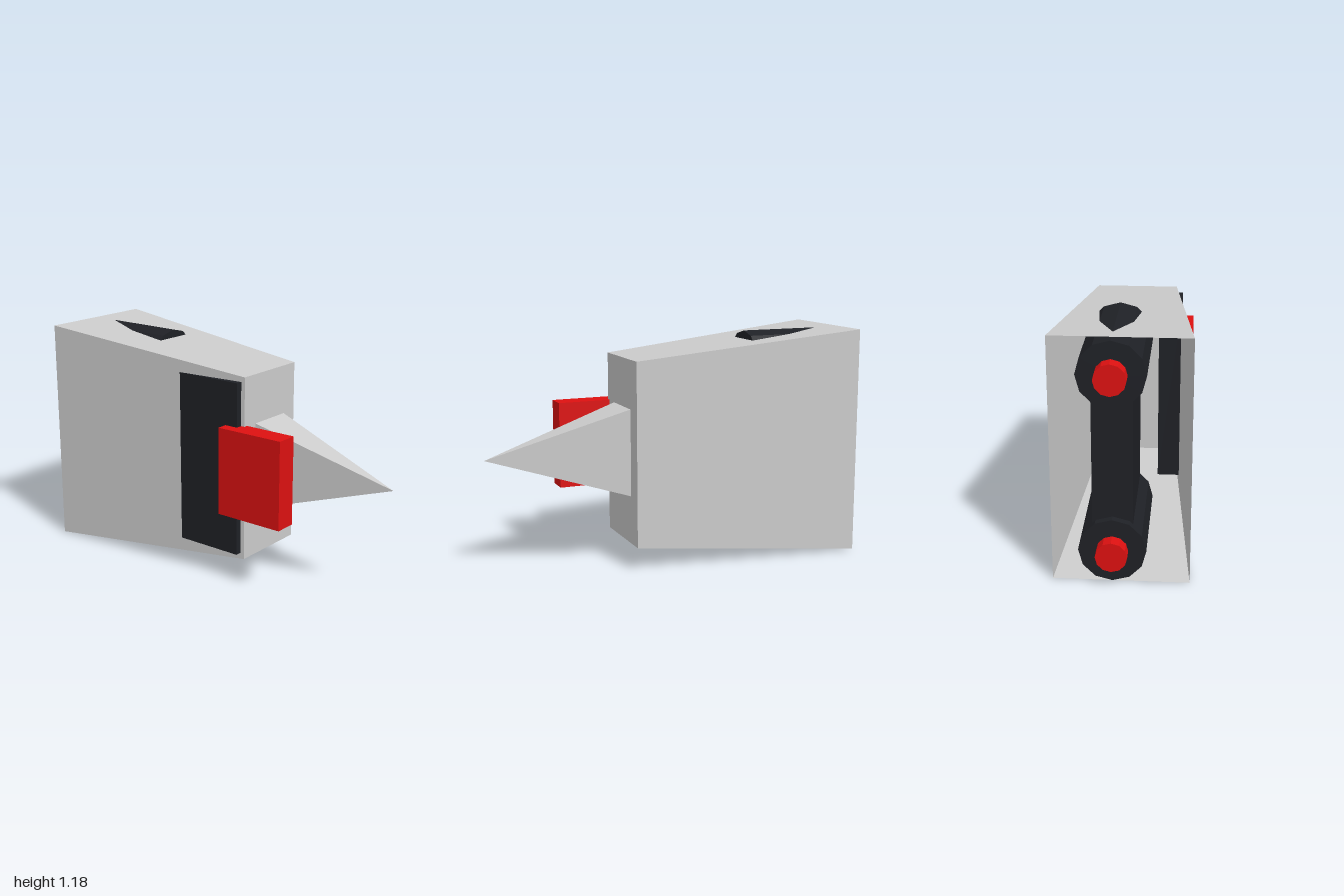
import * as THREE from 'three';

const grey = new THREE.MeshStandardMaterial({ color: 0xcccccc, flatShading: true, side: THREE.DoubleSide });
const black = new THREE.MeshStandardMaterial({ color: 0x1f2126, flatShading: true });
const red = new THREE.MeshStandardMaterial({ color: 0xdd1111, flatShading: true });

const MID = 0.59; // height of the long axis

function add(parent, name, geometry, material) {
  const mesh = new THREE.Mesh(geometry, material);
  mesh.name = name;
  parent.add(mesh);
  return mesh;
}

// Box given by its minimum and maximum corners
function boxBetween(a, b) {
  return new THREE.BoxGeometry(b[0] - a[0], b[1] - a[1], b[2] - a[2])
    .translate((a[0] + b[0]) / 2, (a[1] + b[1]) / 2, (a[2] + b[2]) / 2);
}

// Cylinder lying along x
function barrel(radius, x0, x1, y, z) {
  return new THREE.CylinderGeometry(radius, radius, x1 - x0, 12)
    .rotateZ(-Math.PI / 2)
    .translate((x0 + x1) / 2, y, z);
}

// Tapered hull, open at its -x end
function hullGeometry() {
  const geometry = new THREE.BoxGeometry(2, 2, 2);
  const index = Array.from(geometry.index.array);
  index.splice(6, 6); // drop the -x face
  geometry.setIndex(index);
  geometry.clearGroups();
  const p = geometry.attributes.position;
  for (let i = 0; i < p.count; i++) {
    const nose = p.getX(i) > 0;
    p.setXYZ(i, nose ? 0.28 : -0.915,
      MID + p.getY(i) * (nose ? 0.47 : 0.59),
      p.getZ(i) * (nose ? 0.205 : 0.315));
  }
  geometry.computeVertexNormals();
  return geometry;
}

export function createModel() {
  const model = new THREE.Group();
  model.name = 'model';

  add(model, 'hull', hullGeometry(), grey);

  // Four-sided spike on the nose
  const spike = new THREE.ConeGeometry(Math.SQRT2, 1, 4, 1, false, Math.PI / 4)
    .rotateZ(-Math.PI / 2)
    .scale(0.715, 0.222, 0.118)
    .translate(0.28 + 0.715 / 2, MID, 0);
  add(model, 'noseSpike', spike, grey);

  // Side panel and the block mounted on it
  add(model, 'sidePanel', boxBetween([-0.11, 0.15, 0.13], [0.26, 1.035, 0.24]), black);
  add(model, 'sideBlock', boxBetween([0.19, 0.37, 0.185], [0.555, 0.815, 0.295]), red);

  // Twin engines, joined by a block inside the hull
  for (const [name, y] of [['lowerEngine', 0.167], ['upperEngine', 1.015]]) {
    const engine = new THREE.Group();
    engine.name = name;
    add(engine, 'engineBarrel', barrel(0.155, -0.935, -0.385, y, -0.038), black);
    add(engine, 'engineNozzle', barrel(0.073, -1, -0.9, y, -0.038), red);
    model.add(engine);
  }
  add(model, 'engineLink', boxBetween([-0.9, 0.167, -0.13], [-0.39, 1.015, 0.055]), black);

  return model;
}
